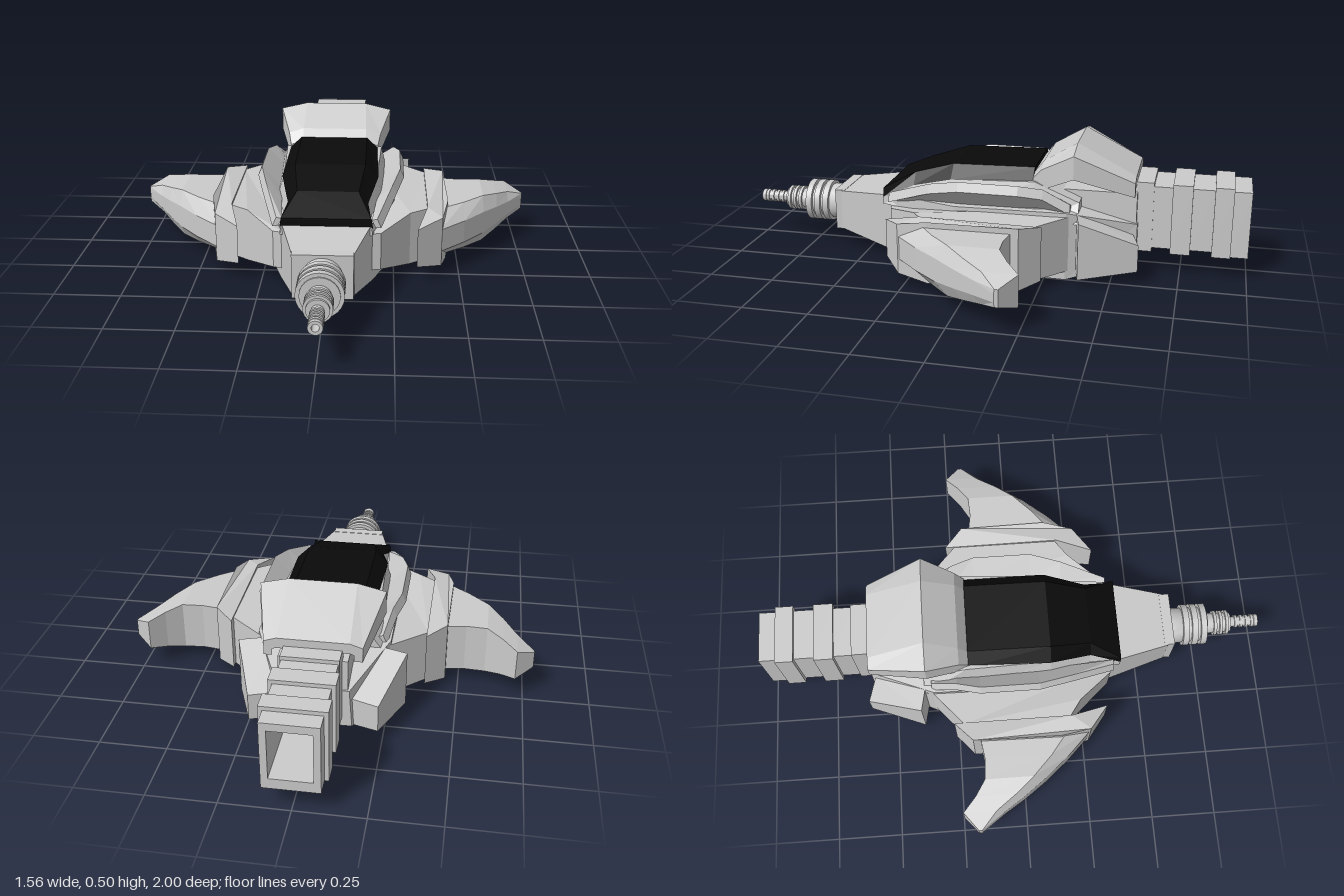
import * as THREE from 'three';
import { toCreasedNormals } from 'three/addons/utils/BufferGeometryUtils.js';

const grey = new THREE.MeshStandardMaterial({ color: 0xcccccc, flatShading: true });
const smooth = new THREE.MeshStandardMaterial({ color: 0xcccccc });
const black = new THREE.MeshStandardMaterial({ color: 0x0a0a0a, flatShading: true });

// Closed solid through a row of loops; u and v are the axes the end caps lie in
function loft(loops, u, v) {
  const flat = (l) => l.map((p) => new THREE.Vector2(p[u], p[v]));
  if (THREE.ShapeUtils.area(flat(loops[0])) < 0) loops = loops.map((l) => [...l].reverse());
  const tris = [];
  const n = loops[0].length, last = loops[loops.length - 1];
  for (let k = 0; k < loops.length - 1; k++) {
    const a = loops[k], b = loops[k + 1];
    for (let i = 0; i < n; i++) {
      const j = (i + 1) % n;
      tris.push([a[i], a[j], b[j]], [a[i], b[j], b[i]]);
    }
  }
  for (const [i, j, k] of THREE.ShapeUtils.triangulateShape(flat(loops[0]), [])) tris.push([loops[0][k], loops[0][j], loops[0][i]]);
  for (const [i, j, k] of THREE.ShapeUtils.triangulateShape(flat(last), [])) tris.push([last[i], last[j], last[k]]);
  // Turn the faces outward if the enclosed volume is negative
  let volume = 0;
  for (const [a, b, c] of tris) {
    volume += a[0] * (b[1] * c[2] - b[2] * c[1]) + a[1] * (b[2] * c[0] - b[0] * c[2]) + a[2] * (b[0] * c[1] - b[1] * c[0]);
  }
  const pos = tris.flatMap((t) => (volume < 0 ? [t[0], t[2], t[1]] : t)).flat();
  const geo = new THREE.BufferGeometry();
  geo.setAttribute('position', new THREE.Float32BufferAttribute(pos, 3));
  geo.computeVertexNormals();
  return geo;
}

// Plan outline of [x, z, bottom y, top y]
const slab = (pts) => [pts.map(([x, z, b]) => [x, b, z]), pts.map(([x, z, , t]) => [x, t, z])];

export function createModel() {
  const root = new THREE.Group();
  const add = (name, geo, mat = grey) => {
    const mesh = new THREE.Mesh(geo, mat);
    mesh.name = name;
    root.add(mesh);
    return mesh;
  };
  const pair = (name, loops, u, v) => {
    for (const s of [1, -1]) {
      add((s > 0 ? 'left' : 'right') + name, loft(loops.map((l) => l.map(([x, y, z]) => [s * x, y, z])), u, v));
    }
  };
  // Symmetric four-cornered sections: [z, bottom half width, bottom y, top half width, top y]
  const hullLoops = (rows) => rows.map(([z, w, b, t, y]) => [[w, b, z], [t, y, z], [-t, y, z], [-w, b, z]]);

  // Hull
  add('hull', loft(hullLoops([
    [0.61, 0.11, 0.08, 0.11, 0.24],
    [0.35, 0.175, 0.02, 0.175, 0.26],
    [0.1, 0.25, 0.004, 0.25, 0.26],
    [-0.33, 0.25, 0, 0.25, 0.265],
    [-0.585, 0.14, 0.05, 0.13, 0.2],
  ]), 0, 1));
  add('cockpitBody', loft(hullLoops([
    [0.41, 0.17, 0.22, 0.165, 0.255],
    [0.29, 0.18, 0.22, 0.15, 0.3],
    [0.13, 0.22, 0.22, 0.18, 0.345],
    [-0.2, 0.23, 0.22, 0.195, 0.362],
    [-0.37, 0.24, 0.22, 0.19, 0.29],
  ]), 0, 1));

  // Canopy glass
  add('canopy', loft(hullLoops([
    [0.41, 0.17, 0.25, 0.165, 0.285],
    [0.29, 0.15, 0.3, 0.115, 0.345],
    [0.13, 0.185, 0.345, 0.135, 0.395],
    [-0.19, 0.185, 0.355, 0.135, 0.402],
  ]), 0, 1), black);

  // Arched hood behind the canopy: [z, half width, ridge half width, top y, corner y, lower y]
  add('rearHood', loft([
    [-0.19, 0.18, 0.13, 0.385, 0.37, 0.31],
    [-0.225, 0.19, 0.13, 0.43, 0.41, 0.33],
    [-0.35, 0.23, 0.125, 0.505, 0.48, 0.39],
    [-0.575, 0.175, 0.13, 0.39, 0.375, 0.32],
  ].map(([z, w, t, y, c, l]) => {
    const half = [[w - 0.03, l], [w - 0.03, c - 0.03], [t, y - 0.04]];
    const outer = [[t, y], [w, c], [w, l]];
    const flip = (a) => a.map(([x, h]) => [-x, h]).reverse();
    return [...outer, ...half, ...flip(half), ...flip(outer)].map(([x, h]) => [x, h, z]);
  }), 0, 1));

  // Tilted armour strips beside the canopy: [z, x, y, outward reach, height]
  pair('CanopyStrip', [
    [0.38, 0.165, 0.255, 0.02, 0.02],
    [0.2, 0.18, 0.265, 0.06, 0.075],
    [0.08, 0.19, 0.265, 0.08, 0.1],
    [-0.15, 0.19, 0.265, 0.08, 0.1],
    [-0.24, 0.185, 0.265, 0.06, 0.085],
    [-0.34, 0.18, 0.26, 0.04, 0.03],
  ].map(([z, x, y, w, h]) => [[x, y + 0.015, z], [x + 0.015, y - 0.015, z], [x + w + 0.015, y + h - 0.035, z], [x + w, y + h, z]]), 0, 1);

  // Wing roots, clamps and rear blocks
  pair('WingRoot', slab([
    [0.16, 0.38, 0.07, 0.215], [0.2, 0.37, 0.07, 0.215], [0.31, 0.24, 0.035, 0.245], [0.38, 0.19, 0.035, 0.245],
    [0.38, -0.22, 0.035, 0.245], [0.245, -0.34, 0.035, 0.25], [0.16, -0.32, 0.035, 0.25],
  ]), 0, 2);
  pair('WingClamp', slab([
    [0.375, -0.26, 0.04, 0.25], [0.45, -0.19, 0.025, 0.265], [0.455, 0.15, 0.025, 0.265],
    [0.43, 0.27, 0.045, 0.24], [0.335, 0.345, 0.07, 0.22], [0.375, 0.2, 0.03, 0.255],
  ]), 0, 2);
  pair('RearBlock', slab([
    [0.315, -0.385, 0.03, 0.25], [0.235, -0.6, 0.05, 0.155], [0.13, -0.57, 0.05, 0.16], [0.17, -0.355, 0.03, 0.26],
  ]), 0, 2);

  // Outer wings: [x, front z, rear z, bottom y, top y]
  pair('Wing', [
    [0.42, 0.275, -0.165, 0.05, 0.243],
    [0.52, 0.175, -0.15, 0.05, 0.243],
    [0.6, 0.08, -0.155, 0.05, 0.243],
    [0.66, 0.0, -0.195, 0.068, 0.225],
    [0.715, -0.085, -0.245, 0.085, 0.205],
    [0.782, -0.175, -0.19, 0.11, 0.175],
  ].map(([x, f, r, b, t]) => {
    const inset = (f - r) * 0.2, d = (t - b) * 0.27;
    return [[x, b + d, f], [x, t - d, f], [x, t, f - inset], [x, t, r], [x, b, r], [x, b, f - inset]];
  }), 2, 1);

  // Ribbed square tail duct: solid neck, then hollow frames
  add('tailNeck', new THREE.BoxGeometry(0.25, 0.24, 0.29)).position.set(0, 0.2, -0.435);
  const frames = [
    [-0.55, -0.64, 0.104, 0.085, 0.36], [-0.64, -0.71, 0.1, 0.1, 0.345], [-0.71, -0.785, 0.115, 0.085, 0.36],
    [-0.785, -0.865, 0.1, 0.1, 0.345], [-0.865, -0.935, 0.115, 0.085, 0.36], [-0.935, -1, 0.1, 0.085, 0.345],
  ];
  frames.forEach(([z0, z1, w, b, t], i) => {
    const rect = (path, x, y0, y1) => path.moveTo(-x, y0).lineTo(x, y0).lineTo(x, y1).lineTo(-x, y1).closePath();
    const shape = rect(new THREE.Shape(), w, b, t);
    shape.holes.push(rect(new THREE.Path(), 0.075, 0.125, 0.315));
    add('tailFrame' + (i + 1), new THREE.ExtrudeGeometry(shape, { depth: z0 - z1, bevelEnabled: false })).position.z = z1;
  });

  // Nose plate and stepped gun barrel
  add('nosePlate', new THREE.BoxGeometry(0.216, 0.165, 0.04)).position.set(0, 0.16, 0.617);
  const profile = [[0, 0.62], [0.072, 0.62], [0.072, 0.68]];
  const ring = (z, len, r, core) => profile.push([core, z], [r, z], [r, z + len], [core, z + len]);
  for (let i = 0; i < 3; i++) ring(0.684 + i * 0.036, 0.024, 0.084, 0.07);
  profile.push([0.07, 0.785], [0.042, 0.785]);
  for (let i = 0; i < 3; i++) ring(0.815 + i * 0.024, 0.012, 0.05, 0.04);
  profile.push([0.04, 0.885], [0.022, 0.885]);
  for (let i = 0; i < 4; i++) ring(0.905 + i * 0.022, 0.011, 0.026, 0.021);
  profile.push([0.025, 0.985], [0.025, 1], [0.013, 1], [0.013, 0.95], [0, 0.95]);
  const barrel = new THREE.LatheGeometry(profile.map(([r, z]) => new THREE.Vector2(r, z)), 24);
  barrel.rotateX(Math.PI / 2);
  add('gunBarrel', toCreasedNormals(barrel, 0.6), smooth).position.y = 0.16;

  return root;
}
